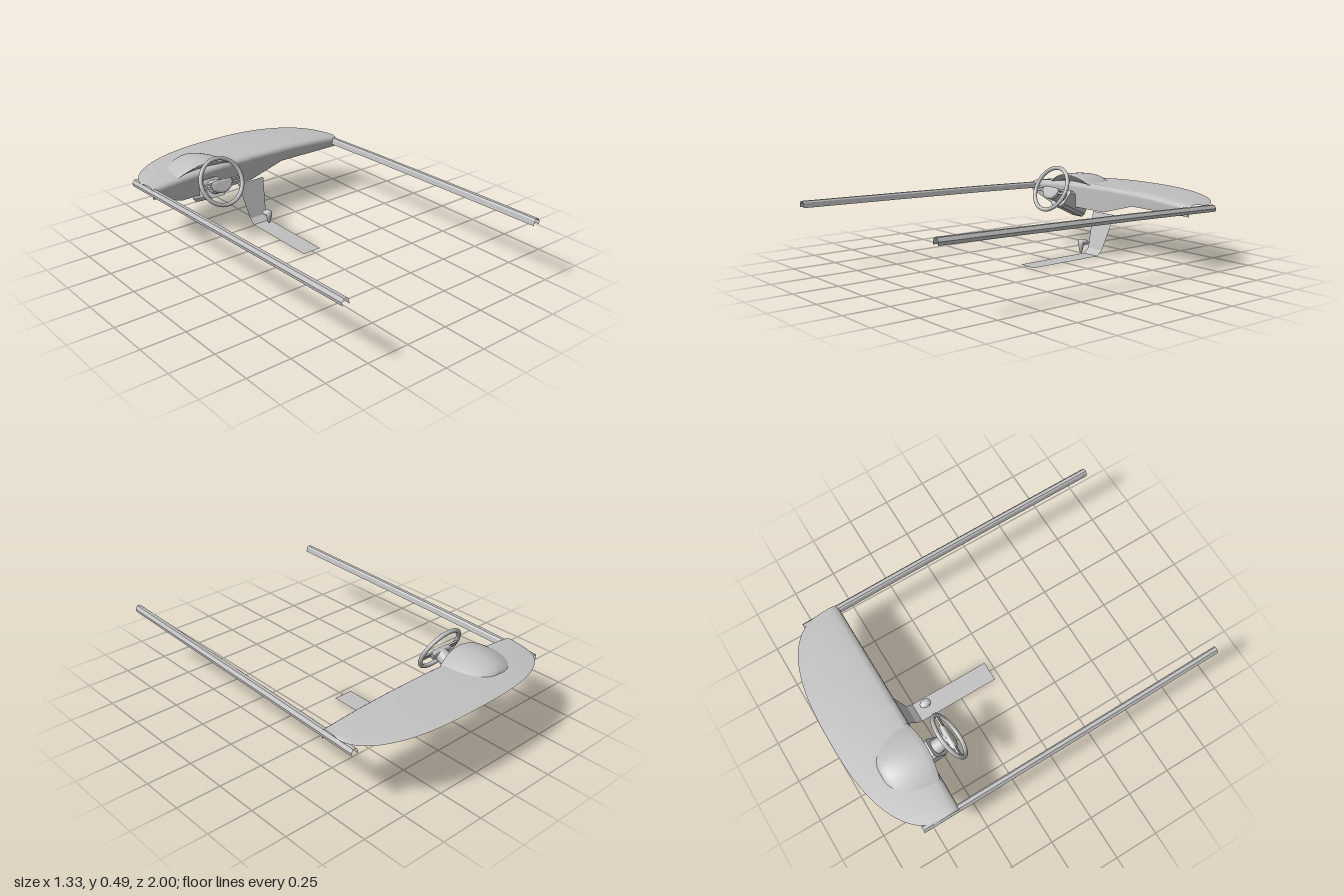
import * as THREE from 'three';

const grey = new THREE.MeshStandardMaterial({ color: 0xc0c0c0, side: THREE.DoubleSide });
grey.name = 'interior grey';

function add(parent, name, geometry, x = 0, y = 0, z = 0) {
  const mesh = new THREE.Mesh(geometry, grey);
  mesh.name = name;
  mesh.position.set(x, y, z);
  parent.add(mesh);
  return mesh;
}

// Skin a sheet over equal-length rows of [x, y, z] points
function sheet(rows, flat = false) {
  const n = rows[0].length, index = [];
  for (let i = 0; i < rows.length - 1; i++) {
    for (let j = 0; j < n - 1; j++) {
      const a = i * n + j, b = a + n;
      index.push(a, b, a + 1, b, b + 1, a + 1);
    }
  }
  let g = new THREE.BufferGeometry();
  g.setAttribute('position', new THREE.Float32BufferAttribute(rows.flat(2), 3));
  g.setIndex(index);
  if (flat) g = g.toNonIndexed();
  g.computeVertexNormals();
  return g;
}

// Linear interpolation through [x, y] pairs
function along(points, x) {
  for (let i = 1; i < points.length; i++) {
    const [x0, y0] = points[i - 1], [x1, y1] = points[i];
    if (x <= x1) return y0 + (y1 - y0) * (x - x0) / (x1 - x0);
  }
  return points[points.length - 1][1];
}

// Dashboard: front fascia, rounded edge and top running to a curved rear outline
function dashboard() {
  const lower = [[-0.655, 0.3], [-0.47, 0.24], [0, 0.24], [0.23, 0.304], [0.655, 0.3]];
  const xs = [-0.47, 0, 0.23];
  for (let i = 0; i <= 40; i++) xs.push(0.655 * Math.sin((i / 40 - 0.5) * Math.PI));
  xs.sort((a, b) => a - b);
  const rows = xs.map((x) => {
    const u = Math.min(1, Math.abs(x) / 0.655);
    const top = 0.392 - 0.03 * u ** 2.2;
    const back = -0.72 - 0.28 * Math.sqrt(1 - u ** 2.6);
    const row = [[x, along(lower, x), -0.606], [x, top - 0.03, -0.602],
      [x, top - 0.015, -0.606], [x, top - 0.005, -0.618], [x, top, -0.64]];
    for (let k = 1; k <= 5; k++) {
      const v = k / 5;
      row.push([x, top - 0.011 * v * v, -0.64 + (back + 0.64) * v]);
    }
    return row;
  });
  return sheet(rows);
}

// Instrument hood: half dome with an open, overhanging front lip
function hood() {
  const arc = (width, height, base, z, bow) => {
    const row = [];
    for (let j = 0; j <= 24; j++) {
      const u = j / 12 - 1;
      row.push([-0.3 + width * u, base + height * (1 - u * u), z - bow * u * u]);
    }
    return row;
  };
  const rows = [arc(0.18, 0.025, 0.367, -0.63, 0.01), arc(0.19, 0.06, 0.364, -0.594, 0.03)];
  for (let i = 0; i <= 12; i++) {
    const a = (i / 12) * Math.PI / 2, c = Math.cos(a);
    rows.push(arc(0.192 * c, 0.068 * c, 0.367 + 0.013 * Math.sin(a), -0.59 - 0.27 * Math.sin(a), 0.03 * c));
  }
  return sheet(rows);
}

// Door rail: open folded strip, rising gently toward the front
function rail(side) {
  const profile = [[0.617, -0.035], [0.622, -0.008], [0.63, 0], [0.648, 0], [0.66, -0.018], [0.657, -0.035]];
  const stations = [[-0.815, 0.345, 0.003], [-0.2, 0.363, 0.002], [0.4, 0.376, 0], [0.995, 0.388, -0.004]];
  return sheet(stations.map(([z, y, dx]) => profile.map(([px, py]) => [side * (px + dx), y + py, z])), true);
}

// Steering assembly, built along its own axis and tilted back
function steering() {
  const g = new THREE.Group();
  g.name = 'steering';
  g.position.set(-0.3, 0.36, -0.457);
  g.rotation.x = -0.445;
  add(g, 'steering wheel rim', new THREE.TorusGeometry(0.132, 0.012, 12, 48));

  const hub = new THREE.Shape();
  hub.moveTo(-0.07, 0.004);
  hub.quadraticCurveTo(0, 0.022, 0.07, 0.004);
  hub.bezierCurveTo(0.072, -0.035, 0.04, -0.062, 0, -0.062);
  hub.bezierCurveTo(-0.04, -0.062, -0.072, -0.035, -0.07, 0.004);
  add(g, 'wheel hub', new THREE.ExtrudeGeometry(hub, {
    depth: 0.012, bevelThickness: 0.01, bevelSize: 0.012, bevelOffset: -0.012, bevelSegments: 3, curveSegments: 12,
  }), 0, 0, -0.017);

  for (const s of [-1, 1]) {
    for (const y of [-0.018, 0.002]) {
      add(g, 'wheel spoke', new THREE.BoxGeometry(0.075, 0.011, 0.01), s * 0.094, y, -0.006);
    }
  }

  const neck = new THREE.CylinderGeometry(0.036, 0.042, 0.09, 16);
  neck.rotateX(Math.PI / 2);
  add(g, 'column neck', neck, 0, -0.02, -0.06);

  // Shroud with chamfered lower corners and a raked front face
  const s = new THREE.Shape();
  [[-0.055, 0.02], [-0.055, -0.06], [-0.04, -0.078], [0.04, -0.078], [0.055, -0.06], [0.055, 0.02],
    [0.042, 0.034], [-0.042, 0.034]].forEach(([x, y], i) => (i ? s.lineTo(x, y) : s.moveTo(x, y)));
  const shroud = new THREE.ExtrudeGeometry(s, { depth: 0.195, bevelEnabled: false });
  shroud.translate(0, 0, -0.275);
  const p = shroud.attributes.position;
  for (let i = 0; i < p.count; i++) {
    if (p.getZ(i) > -0.1) p.setZ(i, p.getZ(i) - 0.3 * (p.getY(i) + 0.078));
    else p.setY(i, p.getY(i) + 0.1 * (p.getY(i) + 0.078));
  }
  shroud.computeVertexNormals();
  add(g, 'column shroud', shroud);
  return g;
}

// Gear lever: tapered stem under a rounded grip
function gearLever() {
  const g = new THREE.Group();
  g.name = 'gear lever';
  const stem = [[0, 0], [0.007, 0.003], [0.013, 0.025], [0.019, 0.05], [0.018, 0.066], [0, 0.076]];
  const lathe = new THREE.LatheGeometry(stem.map(([x, y]) => new THREE.Vector2(x, y)), 16);
  lathe.scale(1, 1, 0.8);
  add(g, 'lever stem', lathe, 0, 0.024, -0.43);
  const grip = new THREE.SphereGeometry(1, 18, 12);
  grip.scale(0.025, 0.017, 0.033);
  add(g, 'lever grip', grip, 0, 0.085, -0.448).rotation.x = -0.2;
  return g;
}

export function createModel() {
  const model = new THREE.Group();
  model.name = 'car interior';
  add(model, 'dashboard', dashboard());
  add(model, 'instrument hood', hood());
  add(model, 'left door rail', rail(1));
  add(model, 'right door rail', rail(-1));

  // Centre console: folded strip from the dashboard down to the floor
  const folds = [[0.09, 0.236, -0.605], [0.057, 0.03, -0.54], [0.057, 0.002, -0.505], [0.057, 0, -0.03]];
  add(model, 'centre console', sheet(folds.map(([w, y, z]) => [[-w, y, z], [w, y, z]]), true));

  model.add(steering(), gearLever());
  return model;
}
